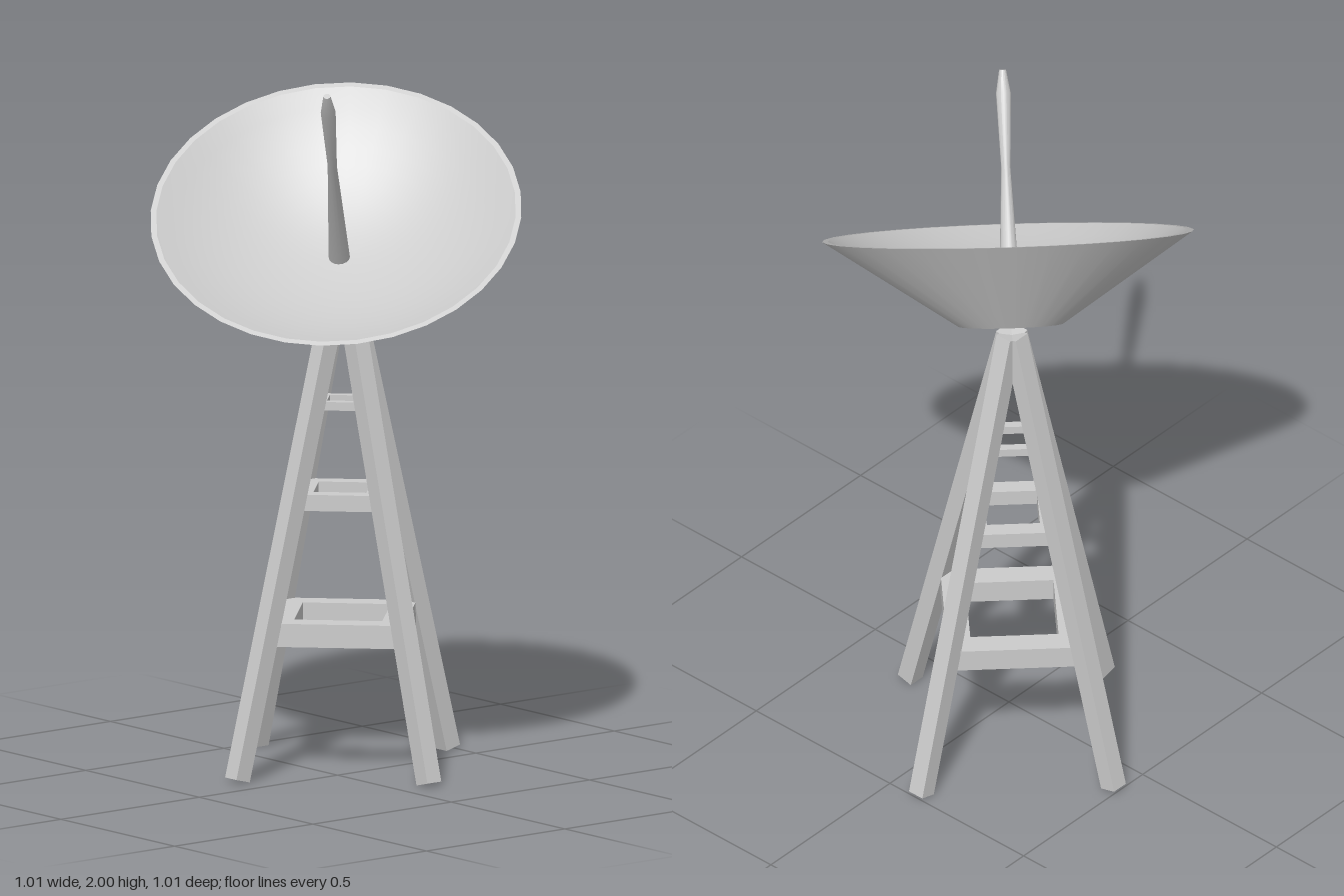
import * as THREE from 'three';
import { toCreasedNormals } from 'three/addons/utils/BufferGeometryUtils.js';

export function createModel() {
  const model = new THREE.Group();
  model.name = 'dishAntenna';
  const material = new THREE.MeshStandardMaterial({ color: 0xcccccc });

  const add = (parent, name, geometry) => {
    const mesh = new THREE.Mesh(geometry, material);
    mesh.name = name;
    parent.add(mesh);
    return mesh;
  };
  const lathe = (points, sides) => toCreasedNormals(
    new THREE.LatheGeometry(points.map(([r, y]) => new THREE.Vector2(r, y)), sides), 0.5);

  // Tower: four square legs leaning together
  const tower = new THREE.Group();
  tower.name = 'tower';
  tower.position.set(0.1, 0, -0.1);
  model.add(tower);

  const foot = new THREE.Vector2(0.38, 0.007);
  const top = new THREE.Vector2(0.012, 1.405);
  const lean = Math.atan2(foot.x - top.x, top.y - foot.y);
  for (let i = 0; i < 4; i++) {
    const side = new THREE.Group();
    side.name = 'legSide';
    side.rotation.y = i * Math.PI / 2;
    tower.add(side);
    const leg = add(side, 'leg', new THREE.BoxGeometry(0.05, foot.distanceTo(top), 0.05));
    leg.position.set((foot.x + top.x) / 2, (foot.y + top.y) / 2, 0);
    leg.rotation.z = lean;
  }

  // Square brace frames: [centre height, corner distance, bar thickness]
  const diamond = (path, r) => {
    path.moveTo(r, 0);
    path.lineTo(0, r);
    path.lineTo(-r, 0);
    path.lineTo(0, -r);
    path.closePath();
    return path;
  };
  for (const [y, r, t] of [[0.405, 0.268, 0.066], [0.77, 0.17, 0.046], [1.035, 0.09, 0.024]]) {
    const shape = diamond(new THREE.Shape(), r);
    shape.holes.push(diamond(new THREE.Path(), r - t * Math.SQRT2));
    const frame = add(tower, 'braceFrame',
      new THREE.ExtrudeGeometry(shape, { depth: t, bevelEnabled: false }));
    frame.rotation.x = -Math.PI / 2;
    frame.position.y = y - t / 2;
  }

  // Tilted head, with its origin at the centre of the dish's back plate
  const head = new THREE.Group();
  head.name = 'head';
  head.position.set(0.066, 1.4, -0.066);
  head.quaternion.setFromUnitVectors(
    new THREE.Vector3(0, 1, 0), new THREE.Vector3(-0.394, 0.83, 0.394).normalize());
  model.add(head);

  // Dish: flat back plate, conical outside, thin rim, parabolic inside
  const profile = [[0, 0], [0.147, 0], [0.52, 0.25]];
  const innerRadius = 0.504, floor = 0.08, steps = 10;
  for (let i = steps; i >= 0; i--) {
    const k = i / steps;
    profile.push([innerRadius * k, floor + (0.25 - floor) * k * k]);
  }
  add(head, 'dish', lathe(profile, 32));

  // Feed mast: wide foot, narrow waist, small swelling at the tip
  add(head, 'feedMast', lathe(
    [[0, 0.06], [0.031, 0.06], [0.013, 0.44], [0.021, 0.65], [0.01, 0.715], [0, 0.715]], 16));

  return model;
}
